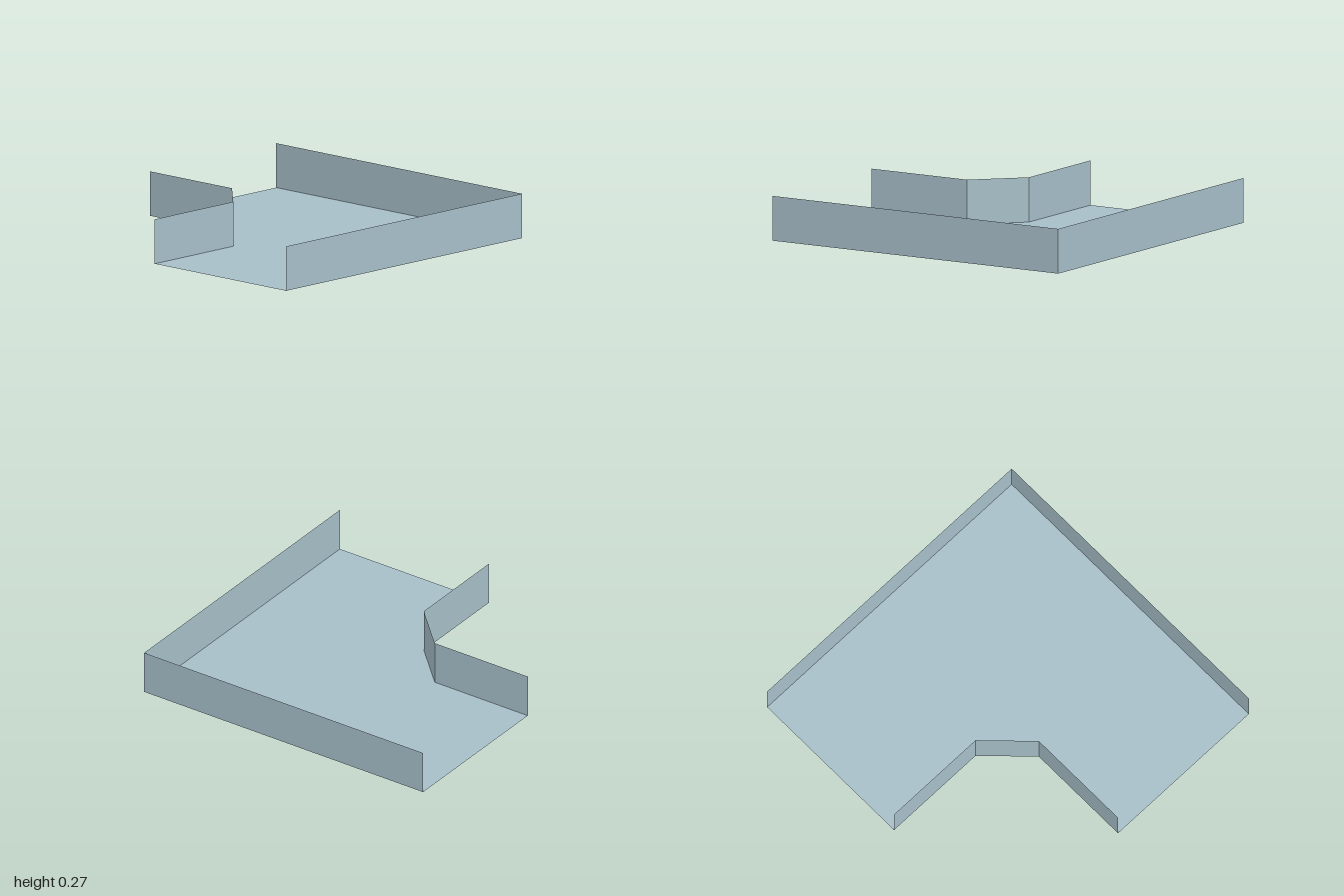
import * as THREE from 'three';

export function createModel() {
  const group = new THREE.Group();
  group.name = 'trayBend';
  const metal = new THREE.MeshStandardMaterial({ color: 0xa6bec8, side: THREE.DoubleSide });
  metal.name = 'blue grey sheet metal';

  const height = 0.267;
  // plan corners as [x, z]
  const inner = [[-1, -0.07], [-0.333, -0.07], [-0.07, -0.333], [-0.07, -1]];
  const outer = [[1, -1], [1, 1], [-1, 1]];

  // floor: the L-shaped plan laid flat, facing up
  const plan = new THREE.Shape([...inner, ...outer].map(([x, z]) => new THREE.Vector2(x, -z)));
  const floor = new THREE.Mesh(new THREE.ShapeGeometry(plan).rotateX(-Math.PI / 2), metal);
  floor.name = 'floor';
  group.add(floor);

  // upright flanges: one thin sheet per straight run, both ends left open
  function addWalls(name, points) {
    const walls = new THREE.Group();
    walls.name = name;
    for (let i = 0; i < points.length - 1; i++) {
      const [x0, z0] = points[i];
      const [x1, z1] = points[i + 1];
      const sheet = new THREE.PlaneGeometry(Math.hypot(x1 - x0, z1 - z0), height);
      const wall = new THREE.Mesh(sheet, metal);
      wall.name = name + 'Panel' + (i + 1);
      wall.position.set((x0 + x1) / 2, height / 2, (z0 + z1) / 2);
      wall.rotation.y = Math.atan2(z0 - z1, x1 - x0);
      walls.add(wall);
    }
    group.add(walls);
  }
  addWalls('innerWall', inner);
  addWalls('outerWall', outer);

  return group;
}
